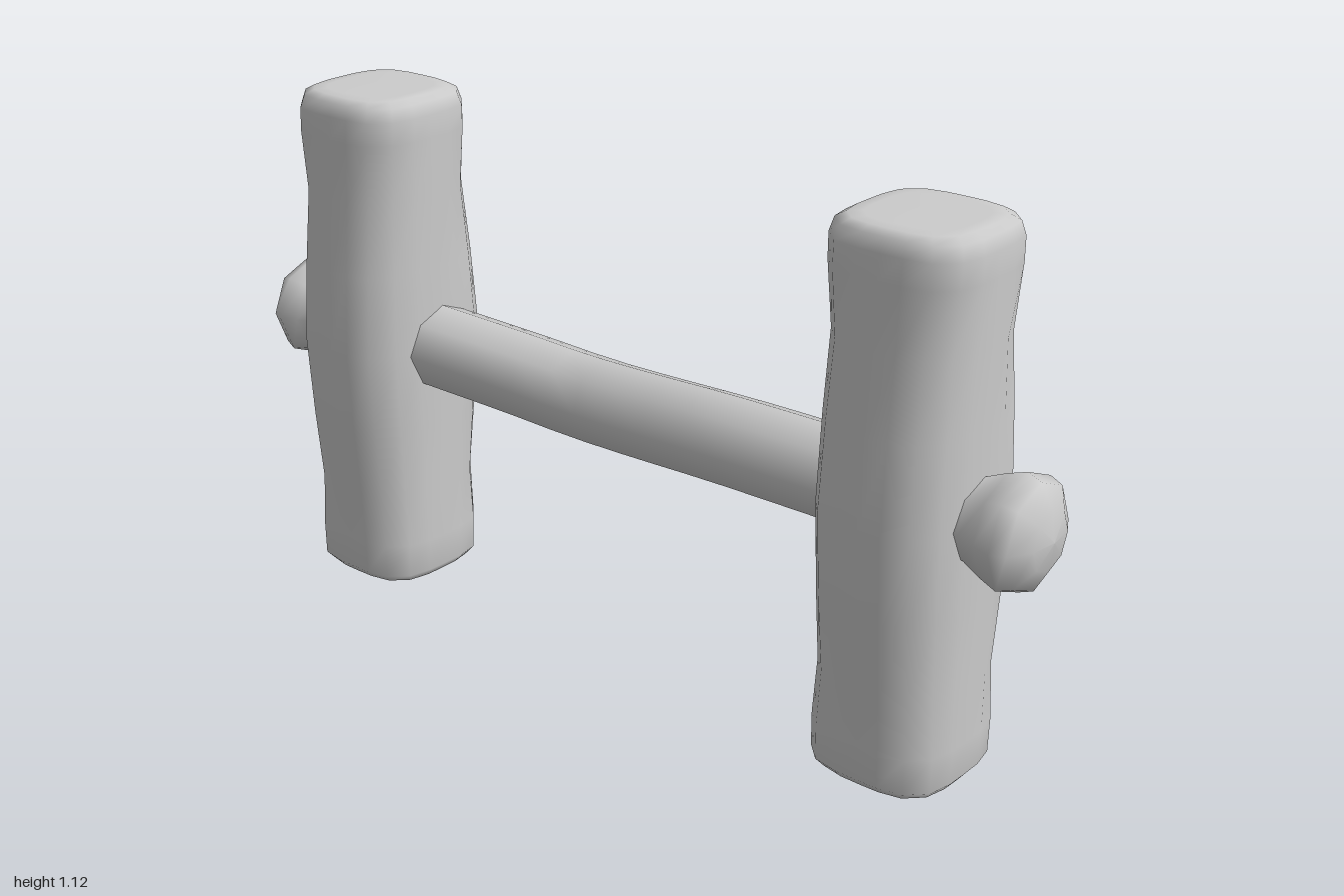
import * as THREE from 'three';

const material = new THREE.MeshStandardMaterial({ color: 0xcccccc });
const SIDES = 20;
const AXIS_Y = 0.565;

// Rings of a post, bottom to top: [height, half width, half depth, squareness, x shift]
const POST_RINGS = [
  [0.0, 0.11, 0.11, 3.2, -0.007],
  [0.006, 0.135, 0.135, 3.4, -0.007],
  [0.025, 0.151, 0.15, 3.5, -0.007],
  [0.1, 0.155, 0.152, 3.3, -0.006],
  [0.22, 0.163, 0.152, 2.5, -0.005],
  [0.38, 0.177, 0.152, 2.8, -0.003],
  [0.56, 0.188, 0.152, 3.1, -0.001],
  [0.74, 0.176, 0.152, 2.8, -0.003],
  [0.9, 0.163, 0.152, 2.4, -0.005],
  [1.03, 0.155, 0.152, 3.5, -0.006],
  [1.08, 0.151, 0.151, 3.8, -0.006],
  [1.108, 0.142, 0.143, 3.8, -0.006],
  [1.119, 0.125, 0.125, 3.6, -0.006],
  [1.12, 0.1, 0.1, 3.4, -0.006],
];

// Skins closed superellipse rings into a capped solid
function postGeometry() {
  const pos = [];
  const index = [];
  for (const [y, a, b, n, shift] of POST_RINGS) {
    for (let j = 0; j < SIDES; j++) {
      const t = (j / SIDES) * Math.PI * 2;
      const c = Math.cos(t);
      const s = Math.sin(t);
      const r = Math.pow(Math.pow(Math.abs(c), n) + Math.pow(Math.abs(s), n), -1 / n);
      pos.push(a * r * c + shift, y, b * r * s);
    }
  }
  const last = POST_RINGS.length - 1;
  const bottom = pos.length / 3;
  pos.push(0, 0, 0, 0, POST_RINGS[last][0], 0);
  for (let j = 0; j < SIDES; j++) {
    const k = (j + 1) % SIDES;
    for (let i = 0; i < last; i++) {
      const p = i * SIDES;
      const q = p + SIDES;
      index.push(p + j, q + j, p + k, p + k, q + j, q + k);
    }
    index.push(bottom, j, k);
    index.push(bottom + 1, last * SIDES + k, last * SIDES + j);
  }
  const g = new THREE.BufferGeometry();
  g.setAttribute('position', new THREE.Float32BufferAttribute(pos, 3));
  g.setIndex(index);
  g.computeVertexNormals();
  return g;
}

// Eight-sided flared knob with a domed end, pointing along +z
function knobGeometry() {
  const profile = [
    [0.085, 0.78], [0.086, 0.85], [0.106, 0.895], [0.12, 0.935],
    [0.108, 0.965], [0.06, 0.992], [0, 1.0],
  ].map(([r, h]) => new THREE.Vector2(r, h));
  return new THREE.LatheGeometry(profile, 8).rotateX(Math.PI / 2);
}

function addMesh(parent, name, geometry) {
  const mesh = new THREE.Mesh(geometry, material);
  mesh.name = name;
  parent.add(mesh);
  return mesh;
}

export function createModel() {
  const group = new THREE.Group();
  group.name = 'barWithEndPosts';

  // Posts and outer knobs at both ends
  const post = postGeometry();
  const knob = knobGeometry();
  for (const [end, sign] of [['front', 1], ['back', -1]]) {
    addMesh(group, end + 'Post', post).position.z = sign * 0.698;
    const k = addMesh(group, end + 'Knob', knob);
    k.position.set(-0.007, AXIS_Y, 0);
    if (sign < 0) k.rotation.y = Math.PI;
  }

  // Gently bent bar between the posts
  const path = new THREE.CatmullRomCurve3([
    [-0.008, 0.565, 0.8], [-0.008, 0.564, 0.55], [0.005, 0.555, 0.27],
    [0.032, 0.533, 0], [0.046, 0.524, -0.16], [0.035, 0.535, -0.33],
    [0.008, 0.553, -0.55], [-0.007, 0.565, -0.8],
  ].map((p) => new THREE.Vector3(...p)));
  addMesh(group, 'bentBar', new THREE.TubeGeometry(path, 16, 0.096, 8, false));

  return group;
}
